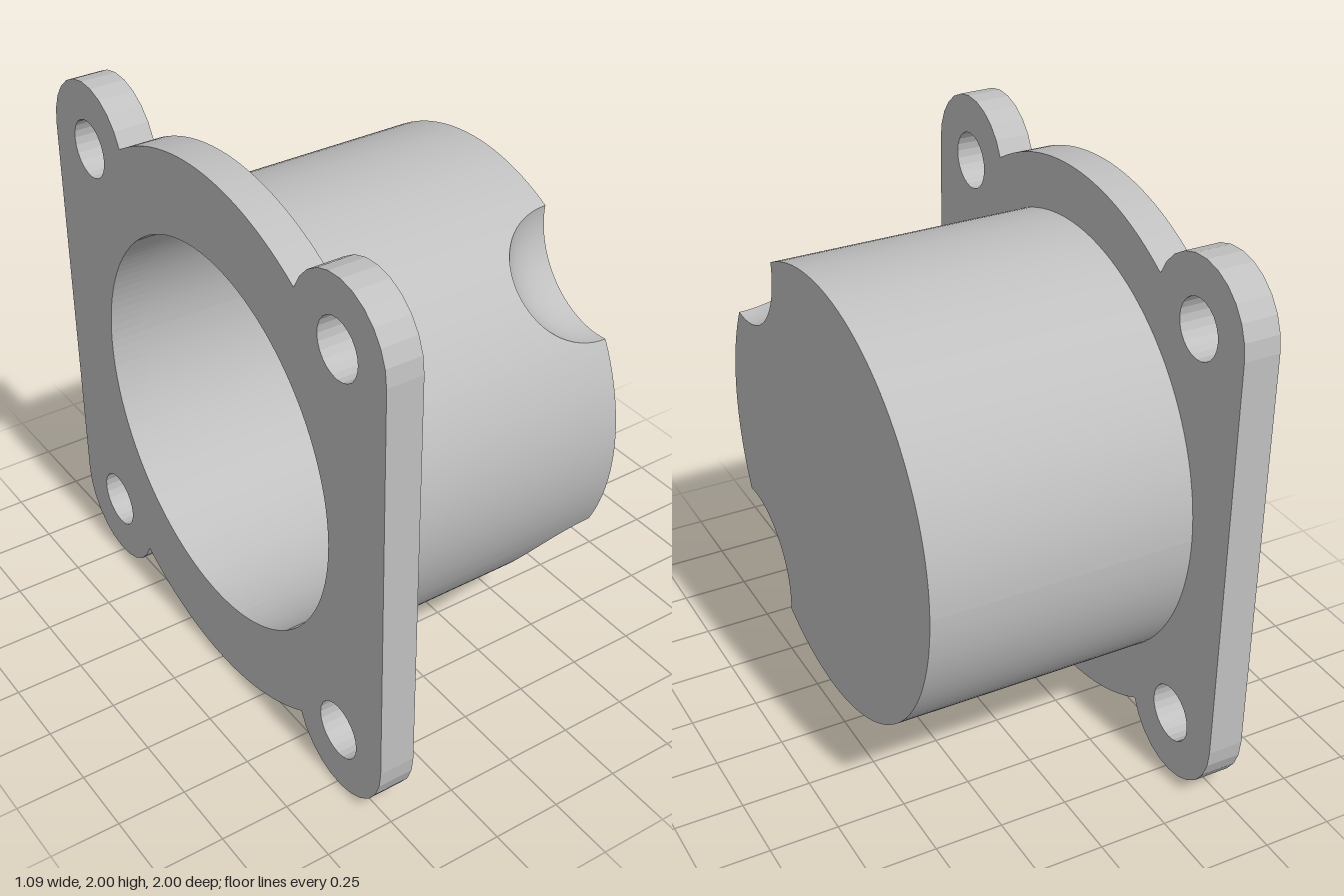
import * as THREE from 'three';

const R = 0.805, BORE = 0.703;                   // barrel outer and inner radius
const X0 = -0.545, X1 = -0.415, X2 = 0.54;       // flange back, flange face, barrel end
const FLOOR = 0.36;                              // depth of the blind bore
const DIMPLE = 0.3, DIST = 0.947;                // dimple radius and distance from the axis
const CUT = Math.acos((R * R + DIST * DIST - DIMPLE * DIMPLE) / (2 * R * DIST));
const CENTRES = [-Math.PI / 4, Math.PI / 4];

const range = (n, f) => Array.from({ length: n + 1 }, (_, i) => f(i / n));

// point at radius r and angle a around the barrel axis
const polar = (x, r, a) => [x, 1 + r * Math.sin(a), r * Math.cos(a)];

// surface over angles and steps; the angle's partner direction sets the facing
function grid(angles, steps, fn) {
  const pos = [], idx = [], m = steps.length;
  angles.forEach((a, i) => steps.forEach((t, j) => {
    pos.push(...fn(a, t));
    if (i && j) {
      const p = (i - 1) * m + j - 1, q = p + m;
      idx.push(p, p + 1, q, q, p + 1, q + 1);
    }
  }));
  const g = new THREE.BufferGeometry();
  g.setAttribute('position', new THREE.Float32BufferAttribute(pos, 3));
  g.setIndex(idx);
  g.computeVertexNormals();
  return g;
}

// angles across one dimple, denser towards its tips
const dimpleAngles = (c) => range(32, (t) => c + CUT * Math.sin((t - 0.5) * Math.PI));

// full turn, with exact stops at the dimple tips
function barrelAngles() {
  const span = (a, b, n) => range(n, (t) => a + (b - a) * t);
  const [c0, c1] = CENTRES;
  return [
    ...span(-Math.PI, c0 - CUT, 40), ...dimpleAngles(c0).slice(1),
    ...span(c0 + CUT, c1 - CUT, 20).slice(1), ...dimpleAngles(c1).slice(1),
    ...span(c1 + CUT, Math.PI, 40).slice(1),
  ];
}

// offset from the nearest dimple, or null outside the cuts
function cutOffset(a) {
  const d = Math.min(...CENTRES.map((c) => Math.abs(a - c)));
  return d < CUT - 1e-6 ? d : null;
}

// radius of the end face at an angle
function edgeRadius(a) {
  const d = cutOffset(a);
  if (d === null) return R;
  return DIST * Math.cos(d) - Math.sqrt(Math.max(0, DIMPLE ** 2 - (DIST * Math.sin(d)) ** 2));
}

// x of the spherical dimple surface at radius r and angle a
function dimpleX(r, a) {
  const d = cutOffset(a);
  if (d === null) return X2;
  const s = r * r + DIST * DIST - 2 * r * DIST * Math.cos(d);
  return X2 - Math.sqrt(Math.max(0, DIMPLE * DIMPLE - s));
}

// flange plate: disc with four rounded ears and straight sides
function flangeGeometry() {
  const E = 0.755, ER = 0.245, ED = E * Math.SQRT2;
  const arc = (cx, cy, r, a, b, n) => range(n, (t) => new THREE.Vector2(
    cx + r * Math.cos(a + (b - a) * t), cy + r * Math.sin(a + (b - a) * t)));
  const notch = Math.PI / 4 + Math.acos((1 + ED * ED - ER * ER) / (2 * ED));
  const end = Math.atan2(Math.sin(notch) - E, Math.cos(notch) - E);
  const half = [
    ...arc(E, E, ER, 0, end, 11),
    ...arc(0, 0, 1, notch, Math.PI - notch, 40).slice(1),
    ...arc(-E, E, ER, Math.PI - end, Math.PI, 11).slice(1),
  ];
  const shape = new THREE.Shape([...half, ...half.map((p) => p.clone().negate())]);
  const hole = (x, y, r, n) => shape.holes.push(
    new THREE.Path(arc(x, y, r, 0, -2 * Math.PI, n).slice(0, -1)));
  hole(0, 0, BORE, 128);
  for (const x of [-E, E]) for (const y of [-E, E]) hole(x, y, 0.105, 24);
  return new THREE.ExtrudeGeometry(shape, { depth: X1 - X0, bevelEnabled: false })
    .rotateY(Math.PI / 2).translate(X0, 1, 0);
}

export function createModel() {
  const model = new THREE.Group();
  model.name = 'flangedCap';
  const grey = new THREE.MeshStandardMaterial({ color: 0xc0c0c0 });
  grey.name = 'plain grey';
  const add = (name, geometry) => {
    const mesh = new THREE.Mesh(geometry, grey);
    mesh.name = name;
    model.add(mesh);
  };

  const turn = barrelAngles();
  const round = range(128, (t) => (t * 2 - 1) * Math.PI);

  add('mountingFlange', flangeGeometry());

  // outer wall, ending at the dimples where they cut in
  add('barrelWall', grid(turn, range(8, (t) => t),
    (a, t) => polar(X1 + (dimpleX(R, a) - X1) * t, R, a)));
  add('barrelEnd', grid(turn, [1, 0], (a, t) => polar(X2, edgeRadius(a) * t, a)));

  // spherical dimples in the rim
  CENTRES.forEach((c, i) => add(i ? 'upperDimple' : 'lowerDimple',
    grid(dimpleAngles(c), range(16, (t) => 1 - t), (a, t) => {
      const inner = edgeRadius(a), r = inner + (R - inner) * t * t;
      return polar(dimpleX(r, a), r, a);
    })));

  // blind bore
  add('boreWall', grid(round, [FLOOR, X1], (a, x) => polar(x, BORE, a)));
  add('boreFloor', grid(round, [0, BORE], (a, r) => polar(FLOOR, r, a)));

  return model;
}
